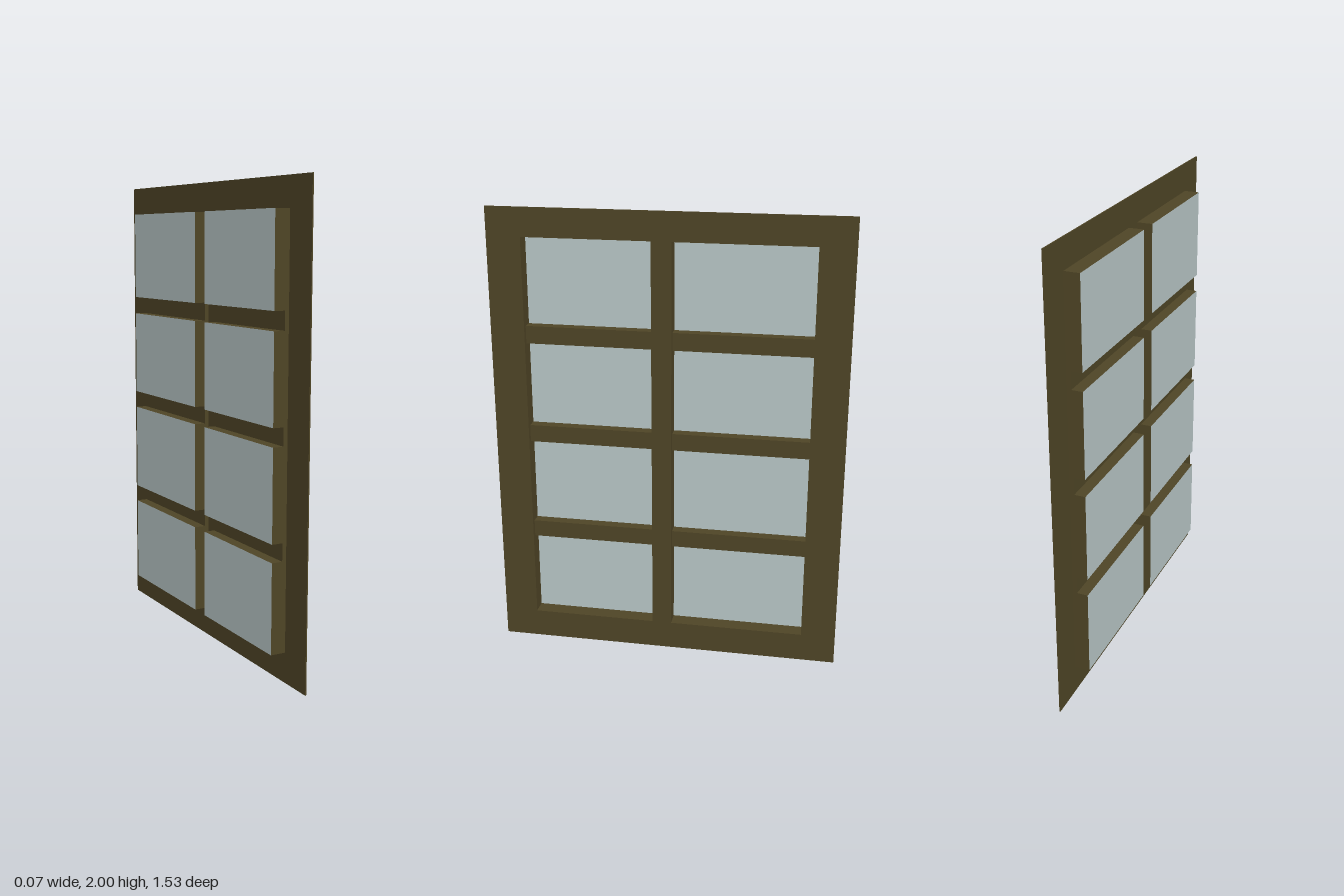
import * as THREE from 'three';

const wood = new THREE.MeshStandardMaterial({ color: 0x4f4526, side: THREE.DoubleSide });
const glass = new THREE.MeshStandardMaterial({ color: 0xb9c7c7, side: THREE.DoubleSide });

// Depths along x: glass at the back, glazing bars, face of the frame
const GLASS_X = -0.036, BAR_X = 0.012, BACK_X = 0.03, FACE_X = 0.035;

// Openings: two columns (z ranges) and four rows (y ranges)
const columns = [[-0.614, -0.02], [0.066, 0.617]];
const rows = [[0.127, 0.505], [0.58, 0.966], [1.042, 1.415], [1.492, 1.876]];

// Upright sheet facing +x
function sheet(name, [y0, y1], [z0, z1], x, material) {
  const mesh = new THREE.Mesh(new THREE.PlaneGeometry(z1 - z0, y1 - y0), material);
  mesh.name = name;
  mesh.rotation.y = Math.PI / 2;
  mesh.position.set(x, (y0 + y1) / 2, (z0 + z1) / 2);
  return mesh;
}

// Four thin walls around an opening, running from x0 to x1
function sleeve(name, [y0, y1], [z0, z1], x0, x1) {
  const group = new THREE.Group();
  group.name = name;
  const cx = (x0 + x1) / 2;
  for (const z of [z0, z1]) {
    const side = new THREE.Mesh(new THREE.PlaneGeometry(x1 - x0, y1 - y0), wood);
    side.name = 'sideWall';
    side.position.set(cx, (y0 + y1) / 2, z);
    group.add(side);
  }
  for (const y of [y0, y1]) {
    const sill = new THREE.Mesh(new THREE.PlaneGeometry(x1 - x0, z1 - z0), wood);
    sill.name = 'sillWall';
    sill.rotation.x = -Math.PI / 2;
    sill.position.set(cx, y, (z0 + z1) / 2);
    group.add(sill);
  }
  return group;
}

// Rectangle outline in the frame's own plane (u = -z)
function rectangle(Type, [y0, y1], [z0, z1]) {
  return new Type([[-z1, y0], [-z0, y0], [-z0, y1], [-z1, y1]].map(p => new THREE.Vector2(...p)));
}

export function createModel() {
  const model = new THREE.Group();
  model.name = 'window';

  // Flat surround with the central mullion left between two tall openings
  const height = [rows[0][0], rows[3][1]];
  const outline = rectangle(THREE.Shape, [0, 2], [-0.765, 0.765]);
  outline.holes = columns.map(c => rectangle(THREE.Path, height, c));
  const frame = new THREE.Mesh(
    new THREE.ExtrudeGeometry(outline, { depth: FACE_X - BACK_X, bevelEnabled: false }), wood);
  frame.name = 'frame';
  frame.rotation.y = Math.PI / 2;
  frame.position.x = BACK_X;
  model.add(frame);

  for (const column of columns) {
    // Reveal from the frame back to the glazing bars
    model.add(sleeve('reveal', height, column, BAR_X, BACK_X));

    rows.forEach((row, i) => {
      // Recessed pane and the box around it
      model.add(sleeve('paneSurround', row, column, GLASS_X, BAR_X));
      model.add(sheet('pane', row, column, GLASS_X, glass));
      // Horizontal glazing bar above each pane but the top one
      if (i < 3) model.add(sheet('glazingBar', [row[1], rows[i + 1][0]], column, BAR_X, wood));
    });
  }
  return model;
}
